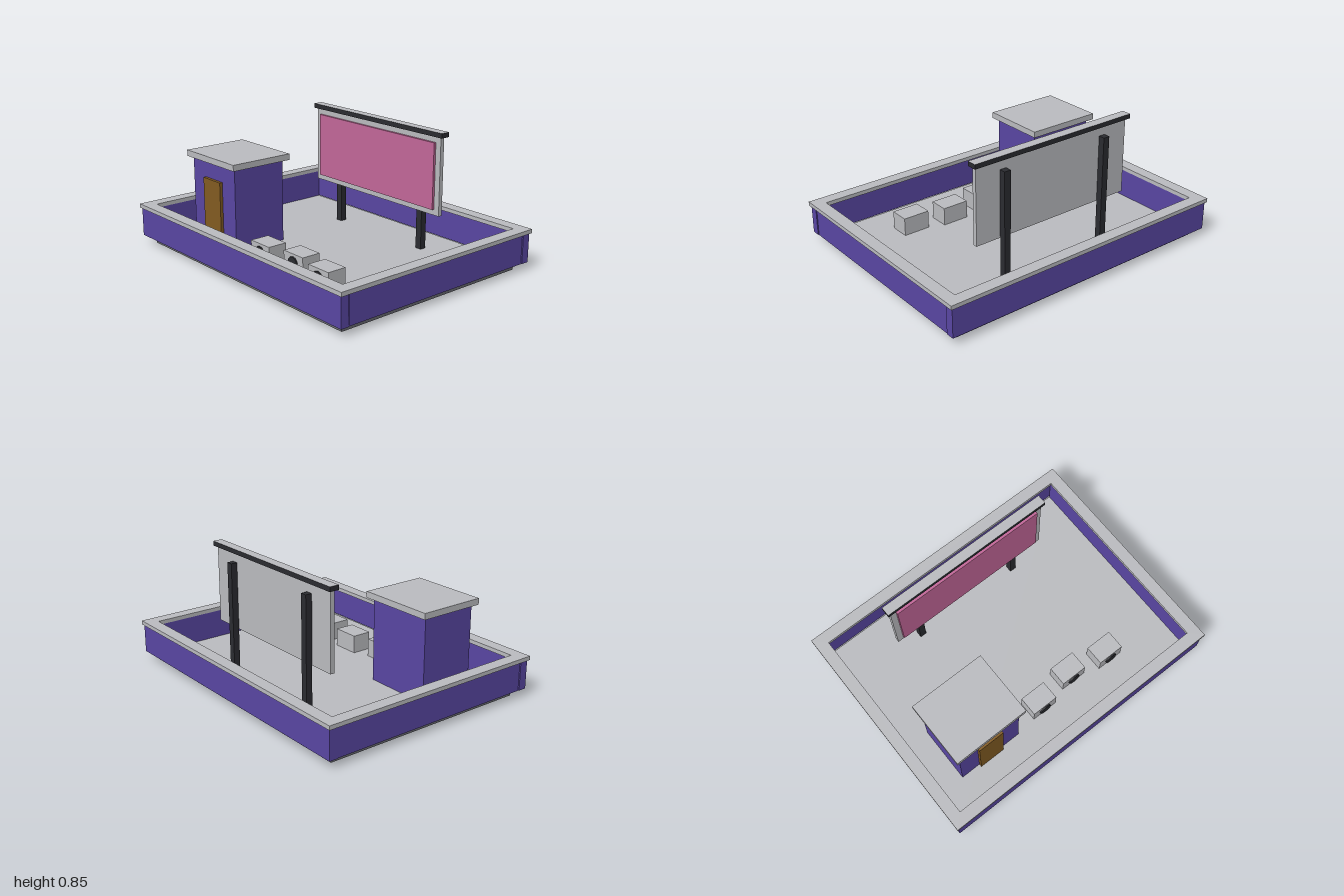
import * as THREE from 'three';

const paint = (name, color) => {
  const m = new THREE.MeshStandardMaterial({ color });
  m.name = name;
  return m;
};

export function createModel() {
  const model = new THREE.Group();
  const pale = paint('paleGrey', 0xbcbdc1);
  const purple = paint('purple', 0x5a47a4);
  const pink = paint('pink', 0xc4689a);
  const brown = paint('brown', 0x835c22);
  const dark = paint('charcoal', 0x2b2c31);
  const grey = paint('midGrey', 0x67686f);

  // Box given by its lower and upper corners, optionally with another colour on top
  const box = (name, mat, [x0, y0, z0], [x1, y1, z1], top, parent = model) => {
    const geo = new THREE.BoxGeometry(x1 - x0, y1 - y0, z1 - z0);
    const mesh = new THREE.Mesh(geo, top ? [mat, mat, top, mat, mat, mat] : mat);
    mesh.position.set((x0 + x1) / 2, (y0 + y1) / 2, (z0 + z1) / 2);
    mesh.name = name;
    parent.add(mesh);
    return mesh;
  };

  // Roof slab with pale top
  box('roofSlab', grey, [-0.925, 0, -0.7], [0.925, 0.052, 0.7], pale);

  // Parapet walls
  for (const s of [-1, 1]) {
    const long = box(s > 0 ? 'frontParapet' : 'backParapet', purple, [-0.988, 0.052, -0.0275], [0.988, 0.24, 0.0275]);
    long.position.z = s * 0.7325;
    const side = box(s > 0 ? 'leftParapet' : 'rightParapet', purple, [-0.03, 0.052, -0.7], [0.03, 0.24, 0.7]);
    side.position.x = s * 0.954;
  }

  // Coping ring on the parapet
  const rect = (path, x, z) => path.moveTo(-x, -z).lineTo(x, -z).lineTo(x, z).lineTo(-x, z).closePath();
  const ring = new THREE.Shape();
  rect(ring, 1, 0.77);
  const hole = new THREE.Path();
  rect(hole, 0.92, 0.69);
  ring.holes.push(hole);
  const copingGeo = new THREE.ExtrudeGeometry(ring, { depth: 0.026, bevelEnabled: false });
  copingGeo.rotateX(-Math.PI / 2);
  const coping = new THREE.Mesh(copingGeo, pale);
  coping.position.y = 0.24;
  coping.name = 'coping';
  model.add(coping);

  // Stair hut
  const hut = new THREE.Group();
  hut.name = 'stairHut';
  model.add(hut);
  box('hutWalls', purple, [-0.76, 0.052, 0.12], [-0.31, 0.59, 0.493], null, hut);
  box('hutRoof', pale, [-0.79, 0.59, 0.085], [-0.28, 0.63, 0.522], null, hut);
  box('hutDoor', brown, [-0.625, 0.052, 0.493], [-0.445, 0.48, 0.513], null, hut);

  // Billboard
  const board = new THREE.Group();
  board.name = 'billboard';
  model.add(board);
  box('boardPanel', pale, [-0.573, 0.318, -0.425], [0.573, 0.815, -0.397], null, board);
  box('boardFace', pink, [-0.533, 0.355, -0.397], [0.533, 0.778, -0.381], null, board);
  box('boardCap', dark, [-0.592, 0.815, -0.446], [0.592, 0.845, -0.383], pale, board);
  for (const x of [-0.38, 0.38])
    box('boardPost', dark, [x - 0.022, 0.052, -0.467], [x + 0.022, 0.753, -0.425], null, board);

  // Rooftop cooling units with round fans
  for (const [x, z] of [[-0.08, 0.415], [0.193, 0.375], [0.47, 0.415]]) {
    const unit = new THREE.Group();
    unit.name = 'coolingUnit';
    unit.position.set(x, 0, z);
    model.add(unit);
    box('unitCase', pale, [-0.09, 0.052, -0.065], [0.09, 0.17, 0.065], null, unit);
    const fanGeo = new THREE.CylinderGeometry(0.043, 0.043, 0.009, 12);
    fanGeo.rotateX(Math.PI / 2);
    const fan = new THREE.Mesh(fanGeo, dark);
    fan.position.set(0, 0.111, 0.0695);
    fan.name = 'unitFan';
    unit.add(fan);
  }
  return model;
}
